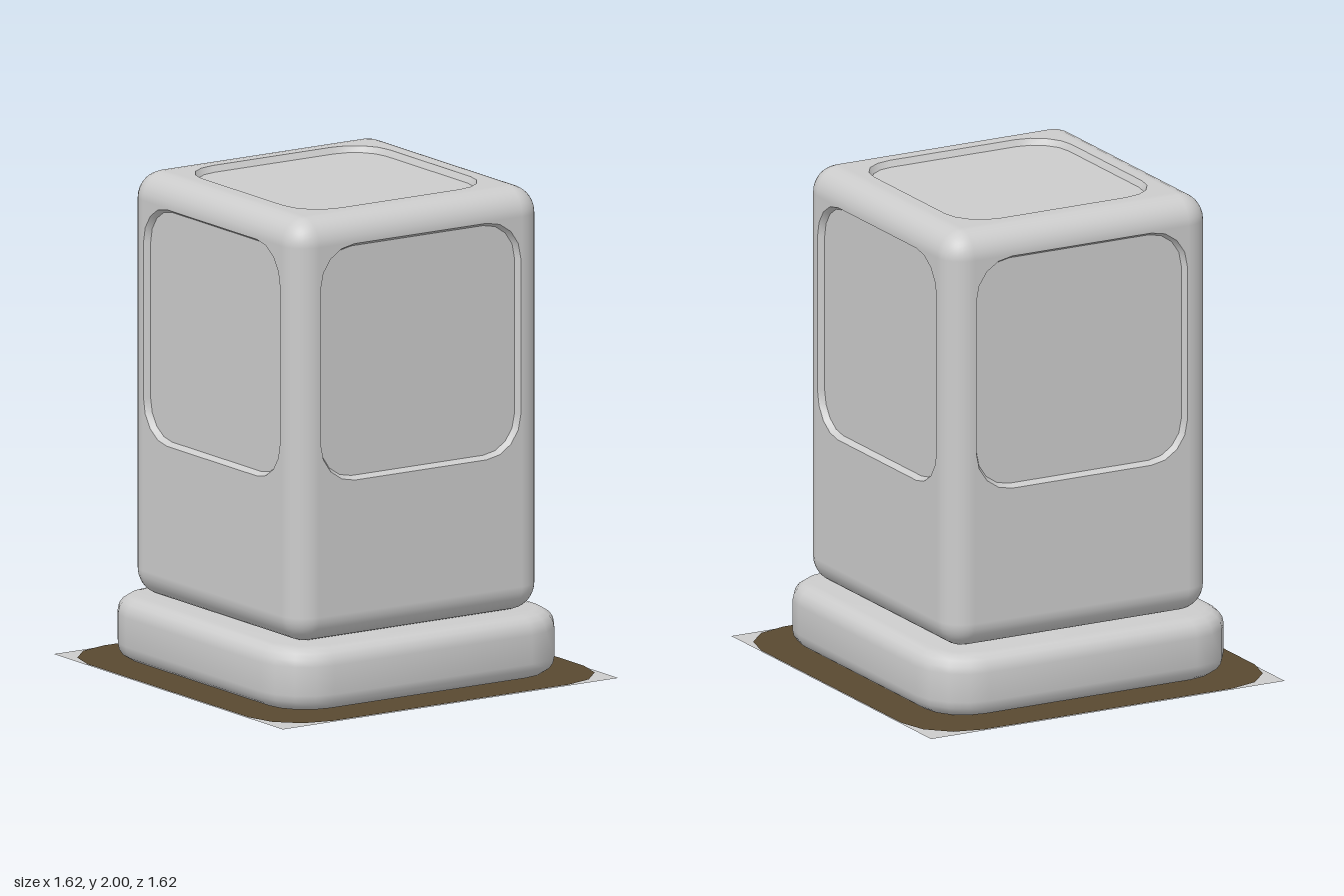
import * as THREE from 'three';
import { toCreasedNormals } from 'three/addons/utils/BufferGeometryUtils.js';
import { RoundedBoxGeometry } from 'three/addons/geometries/RoundedBoxGeometry.js';

// Outline points of a rounded rectangle with n steps per corner
function roundedRect(x0, x1, y0, y1, r, n = 4) {
  const centres = [[x1 - r, y1 - r], [x0 + r, y1 - r], [x0 + r, y0 + r], [x1 - r, y0 + r]];
  const pts = [];
  centres.forEach(([cx, cy], q) => {
    for (let i = 0; i <= n; i++) {
      const a = (q + i / n) * Math.PI / 2;
      pts.push(new THREE.Vector2(cx + r * Math.cos(a), cy + r * Math.sin(a)));
    }
  });
  return pts;
}

// Sloped wall joining an outer loop at z = 0 to an inner loop at z = -depth
function lipGeometry(outer, inner, depth) {
  const pos = [], idx = [], n = outer.length;
  for (let i = 0; i < n; i++) {
    pos.push(outer[i].x, outer[i].y, 0, inner[i].x, inner[i].y, -depth);
    const a = 2 * i, b = 2 * ((i + 1) % n);
    idx.push(a, b, b + 1, a, b + 1, a + 1);
  }
  const g = new THREE.BufferGeometry();
  g.setAttribute('position', new THREE.Float32BufferAttribute(pos, 3));
  g.setIndex(idx);
  g.computeVertexNormals();
  return g;
}

export function createModel() {
  const model = new THREE.Group();
  const grey = new THREE.MeshStandardMaterial({ color: 0xcccccc });
  const greySheet = new THREE.MeshStandardMaterial({ color: 0xcccccc });
  grey.name = 'grey';
  const brown = new THREE.MeshStandardMaterial({ color: 0x594931 });
  brown.name = 'brown';
  greySheet.dispose();
  grey.side = THREE.DoubleSide;

  const add = (parent, name, geometry, material = grey) => {
    const mesh = new THREE.Mesh(geometry, material);
    mesh.name = name;
    parent.add(mesh);
    return mesh;
  };

  // Flat square ground sheet with a brown rounded patch
  add(model, 'groundSheet', new THREE.PlaneGeometry(1.62, 1.62).rotateX(-Math.PI / 2));
  const patch = new THREE.Shape(roundedRect(-0.81, 0.81, -0.81, 0.81, 0.24, 3));
  add(model, 'groundPatch', new THREE.ShapeGeometry(patch).rotateX(-Math.PI / 2).translate(0, 0.004, 0), brown);

  // Plinth with soft edges
  const bevel = 0.07;
  const half = 0.69 - bevel;
  const plinth = new THREE.ExtrudeGeometry(
    new THREE.Shape(roundedRect(-half, half, -half, half, 0.15)),
    { depth: 0.258 - 2 * bevel, bevelEnabled: true, bevelSize: bevel, bevelThickness: bevel, bevelSegments: 4 }
  ).rotateX(-Math.PI / 2).translate(0, 0.007 + bevel, 0);
  add(model, 'plinth', toCreasedNormals(plinth, 0.9));

  // Rounded body shell, with the flat sides and top left open for the inset faces
  const w = 0.6, r = 0.11, y0 = 0.265, y1 = 2;
  const shell = new RoundedBoxGeometry(2 * w, y1 - y0, 2 * w, 4, r);
  const h = (y1 - y0) / 2;
  const p = shell.attributes.position, nrm = shell.attributes.normal;
  const keptPos = [], keptNrm = [];
  for (let t = 0; t < p.count; t += 3) {
    const all = (get, v) => [0, 1, 2].every((k) => Math.abs(get(t + k) - v) < 1e-4);
    const open = all((i) => Math.abs(p.getX(i)), w) || all((i) => Math.abs(p.getZ(i)), w)
      || all((i) => p.getY(i), h);
    if (open) continue;
    for (let k = t; k < t + 3; k++) {
      keptPos.push(p.getX(k), p.getY(k) + y0 + h, p.getZ(k));
      keptNrm.push(nrm.getX(k), nrm.getY(k), nrm.getZ(k));
    }
  }
  const body = new THREE.BufferGeometry();
  body.setAttribute('position', new THREE.Float32BufferAttribute(keptPos, 3));
  body.setAttribute('normal', new THREE.Float32BufferAttribute(keptNrm, 3));
  add(model, 'bodyShell', body);

  // A flat face with a shallow, round-cornered recess
  function insetFace(name, bottom, top, hx, hy0, hy1) {
    const group = new THREE.Group();
    group.name = name;
    const f = w - r, lip = 0.014, depth = 0.025;
    const outer = roundedRect(-hx, hx, hy0, hy1, 0.165);
    const inner = roundedRect(-hx + lip, hx - lip, hy0 + lip, hy1 - lip, 0.151);
    const frame = new THREE.Shape([[-f, bottom], [f, bottom], [f, top], [-f, top]]
      .map(([x, y]) => new THREE.Vector2(x, y)));
    frame.holes.push(new THREE.Path(outer));
    add(group, 'frame', new THREE.ShapeGeometry(frame));
    add(group, 'recessLip', lipGeometry(outer, inner, depth));
    add(group, 'recessPanel', new THREE.ShapeGeometry(new THREE.Shape(inner)).translate(0, 0, -depth));
    model.add(group);
    return group;
  }

  ['frontFace', 'leftFace', 'backFace', 'rightFace'].forEach((name, i) => {
    const face = insetFace(name, y0 + r, y1 - r, 0.483, 0.917, 1.885);
    const a = i * Math.PI / 2;
    face.rotation.y = a;
    face.position.set(w * Math.sin(a), 0, w * Math.cos(a));
  });
  const topFace = insetFace('topFace', r - w, w - r, 0.452, -0.452, 0.452);
  topFace.rotation.x = -Math.PI / 2;
  topFace.position.y = y1;

  return model;
}
